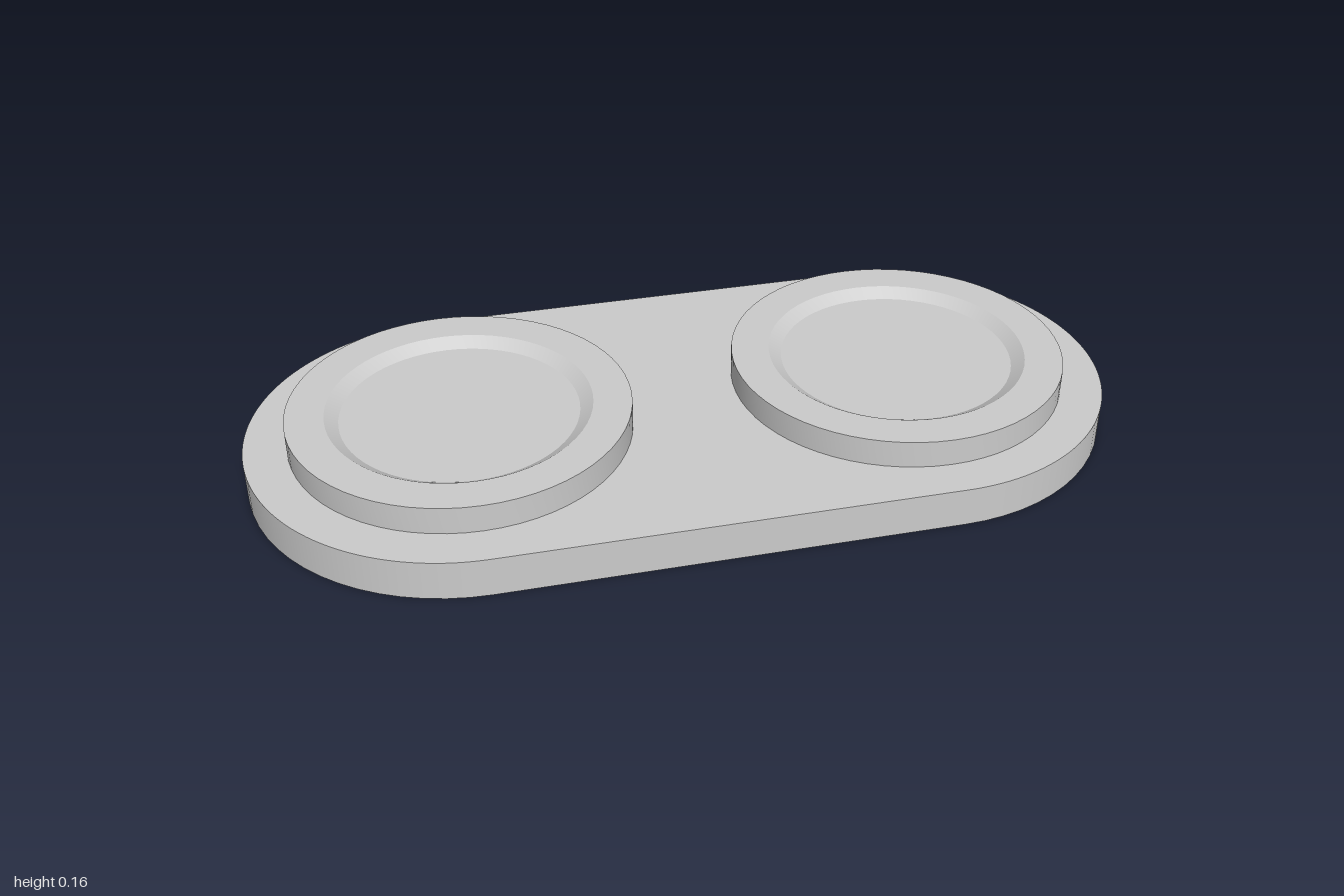
import * as THREE from 'three';
import { mergeGeometries, toCreasedNormals } from 'three/addons/utils/BufferGeometryUtils.js';

const CENTRE = 0.515;   // x distance of the round ends from the middle
const RADIUS = 0.485;   // radius of the round ends
const PLATE_TOP = 0.093;
const RING_TOP = 0.158;
const FLOOR = 0.138;    // bottom of each shallow dish

const material = new THREE.MeshStandardMaterial({ color: 0xcccccc, side: THREE.DoubleSide });

function addMesh(parent, name, geometry) {
  const mesh = new THREE.Mesh(geometry, material);
  mesh.name = name;
  parent.add(mesh);
  return mesh;
}

// Thin skirt around the plate: two half cylinders joined by straight sides
function skirtGeometry() {
  const parts = [];
  for (const side of [1, -1]) {
    parts.push(new THREE.CylinderGeometry(RADIUS, RADIUS, PLATE_TOP, 32, 1, true, side > 0 ? 0 : Math.PI, Math.PI)
      .translate(side * CENTRE, PLATE_TOP / 2, 0));
    parts.push(new THREE.PlaneGeometry(2 * CENTRE, PLATE_TOP)
      .translate(0, PLATE_TOP / 2, RADIUS)
      .rotateY(side > 0 ? 0 : Math.PI));
  }
  return mergeGeometries(parts);
}

// Flat stadium-shaped top of the plate
function lidGeometry() {
  const shape = new THREE.Shape();
  shape.absarc(CENTRE, 0, RADIUS, -Math.PI / 2, Math.PI / 2, false);
  shape.absarc(-CENTRE, 0, RADIUS, Math.PI / 2, Math.PI * 1.5, false);
  return new THREE.ShapeGeometry(shape, 32).rotateX(-Math.PI / 2).translate(0, PLATE_TOP, 0);
}

// Raised disc with a bevelled shallow dish in its top
function discGeometry() {
  const profile = [
    [0.388, PLATE_TOP], [0.388, RING_TOP], [0.3, RING_TOP], [0.27, FLOOR], [0, FLOOR],
  ].map(([r, y]) => new THREE.Vector2(r, y));
  return toCreasedNormals(new THREE.LatheGeometry(profile, 64), 0.5);
}

export function createModel() {
  const model = new THREE.Group();
  model.name = 'twinDishPlate';

  // Base plate, hollow and open underneath
  const base = new THREE.Group();
  base.name = 'basePlate';
  addMesh(base, 'plateSkirt', skirtGeometry());
  addMesh(base, 'plateTop', lidGeometry());
  model.add(base);

  // Matching dished discs
  const disc = discGeometry();
  addMesh(model, 'leftDisc', disc).position.x = CENTRE;
  addMesh(model, 'rightDisc', disc).position.x = -CENTRE;

  return model;
}
